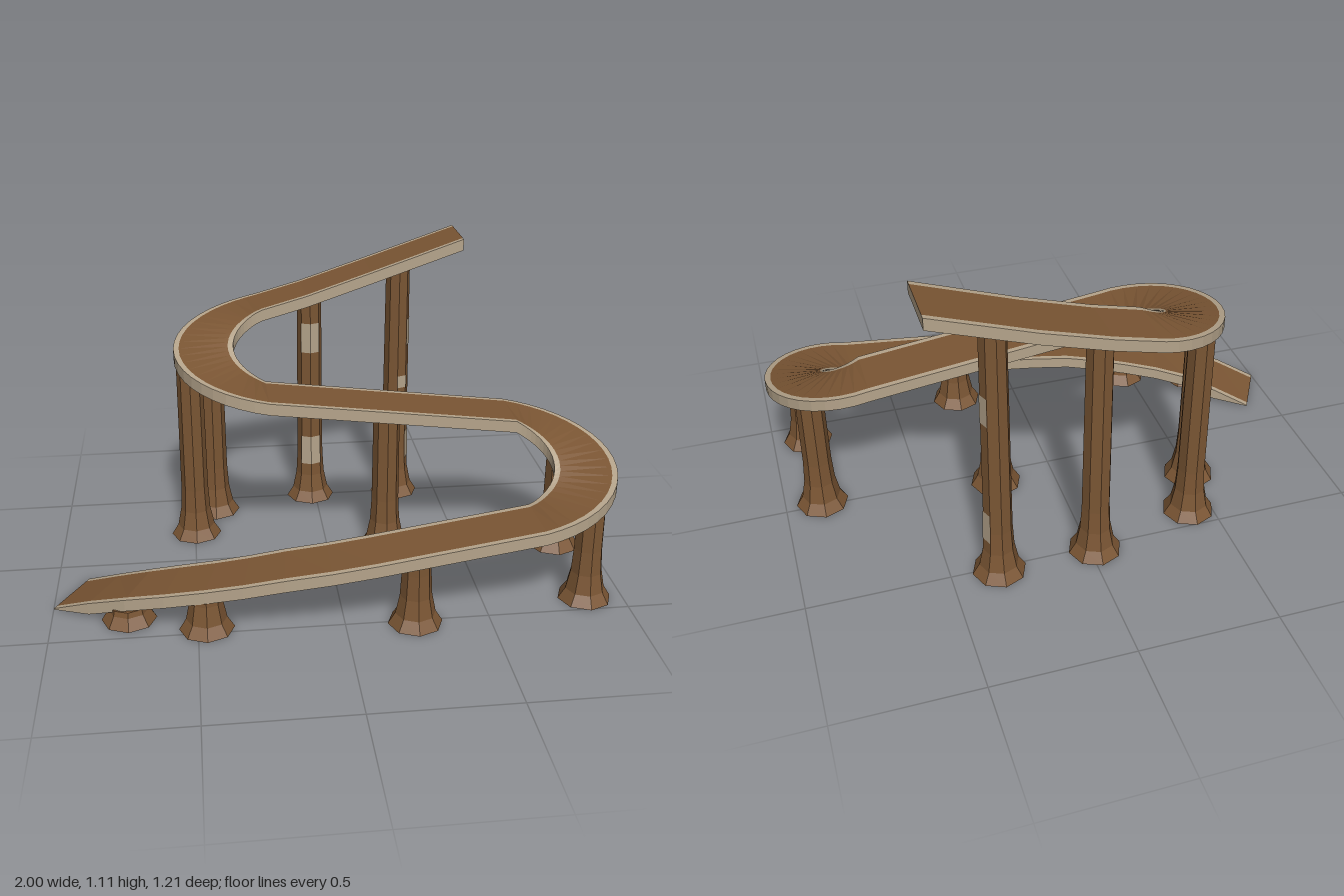
import * as THREE from 'three';

const wood = new THREE.MeshStandardMaterial({ color: 0x7b5634 });
wood.name = 'brownWood';
const trim = new THREE.MeshStandardMaterial({ color: 0xb5a48b });
trim.name = 'paleTrim';

// Centre line of the ramp as [x, y, z], from the high end to the ground
function rampPath() {
  const path = [[0.55, 1.11, -0.457], [0.2, 0.99, -0.457], [-0.05, 0.91, -0.447]];
  const arc = (cx, cz, side, yTop, yEnd, n = 20) => {
    for (let i = 0; i <= n; i++) {
      const a = (Math.PI * i) / n;
      path.push([cx + side * 0.22 * Math.sin(a), yTop + ((yEnd - yTop) * i) / n, cz - 0.22 * Math.cos(a)]);
    }
  };
  arc(-0.22, -0.22, -1, 0.865, 0.665);
  arc(0.67, 0.22, 1, 0.555, 0.335);
  path.push([0.4, 0.3, 0.45], [0.1, 0.26, 0.46], [-0.05, 0.24, 0.46], [-0.2, 0.22, 0.452],
    [-0.33, 0.193, 0.435], [-0.45, 0.167, 0.41], [-0.58, 0.138, 0.375], [-0.7, 0.107, 0.333],
    [-0.82, 0.06, 0.267], [-0.945, 0.004, 0.195]);
  return path;
}

// Six-point cross-section at every path point, clockwise as seen along the path
function rampSections() {
  const path = rampPath(), half = 0.11, lip = 0.02, thick = 0.043;
  return path.map(([x, y, z], i) => {
    const a = path[Math.max(i - 1, 0)], b = path[Math.min(i + 1, path.length - 1)];
    const len = Math.hypot(b[0] - a[0], b[2] - a[2]);
    const rx = -(b[2] - a[2]) / len, rz = (b[0] - a[0]) / len;
    const at = (s, h) => [x + rx * s, h, z + rz * s];
    const low = Math.max(0, y - thick);
    return [at(-half, y), at(lip - half, y), at(half - lip, y), at(half, y), at(half, low), at(-half, low)];
  });
}

function quadMesh(name, quads, material) {
  const pos = quads.flatMap(([a, b, c, d]) => [...a, ...b, ...c, ...a, ...c, ...d]);
  const geo = new THREE.BufferGeometry();
  geo.setAttribute('position', new THREE.Float32BufferAttribute(pos, 3));
  geo.computeVertexNormals();
  const mesh = new THREE.Mesh(geo, material);
  mesh.name = name;
  return mesh;
}

// Sweep the chosen edges of the cross-section along the ramp
function sweep(sections, edges) {
  const quads = [];
  for (let i = 0; i < sections.length - 1; i++) {
    const s = sections[i], t = sections[i + 1];
    for (const [a, b] of edges) quads.push([s[a], s[b], t[b], t[a]]);
  }
  return quads;
}

// Pillar outline: flared foot and slightly tapering shaft
const outline = [[0.095, 0], [0.07, 0.04], [0.056, 0.11], [0.051, 0.2], [0.046, 1.1]];
function radiusAt(y) {
  const i = Math.max(1, outline.findIndex((p) => p[1] >= y));
  const [r0, y0] = outline[i - 1], [r1, y1] = outline[i];
  return r0 + ((r1 - r0) * (y - y0)) / (y1 - y0);
}

function flat(geo) {
  const g = geo.toNonIndexed();
  g.computeVertexNormals();
  return g;
}

// Each patch is [first face, face count, centre height, height]
function pillar(x, z, top, patches = []) {
  const group = new THREE.Group();
  group.name = 'pillar';
  const profile = [[0, 0], ...outline.filter((p) => p[1] < top), [radiusAt(top), top], [0, top]];
  const shaft = new THREE.Mesh(
    flat(new THREE.LatheGeometry(profile.map((p) => new THREE.Vector2(...p)), 8)), wood);
  shaft.name = 'pillarShaft';
  group.add(shaft);
  for (const [face, count, y, h] of patches) {
    const patch = new THREE.Mesh(flat(new THREE.CylinderGeometry(
      radiusAt(y + h / 2) + 0.002, radiusAt(y - h / 2) + 0.002, h, count, 1, true,
      (face * Math.PI) / 4, (count * Math.PI) / 4)), trim);
    patch.name = 'palePatch';
    patch.position.y = y;
    group.add(patch);
  }
  group.position.set(x, 0, z);
  return group;
}

export function createModel() {
  const model = new THREE.Group();
  model.name = 'windingRamp';

  // Ramp: wooden top and underside, pale edges and ends
  const s = rampSections(), first = s[0], last = s[s.length - 1];
  model.add(quadMesh('rampDeck', sweep(s, [[1, 2], [4, 5]]), wood));
  model.add(quadMesh('rampEdges', [
    ...sweep(s, [[0, 1], [2, 3], [3, 4], [5, 0]]),
    [first[0], first[5], first[4], first[3]],
    [last[0], last[3], last[4], last[5]],
  ], trim));

  // Pillars: x, z, top height, patches
  const pillars = [
    [0.33, -0.508, 1.005, [[1, 2, 0.705, 0.11], [1, 2, 0.22, 0.12], [0, 1, 0.5, 0.05]]],
    [-0.02, -0.505, 0.9, [[-1, 2, 0.7, 0.12], [-1, 2, 0.22, 0.12]]],
    [-0.415, -0.41, 0.79, [[1, 1, 0.505, 0.05]]],
    [-0.495, -0.22, 0.735],
    [0.22, -0.05, 0.575],
    [0.865, 0.025, 0.465],
    [0.865, 0.415, 0.355],
    [0.24, 0.508, 0.24],
    [-0.47, 0.465, 0.125],
    [-0.735, 0.375, 0.06],
  ];
  for (const p of pillars) model.add(pillar(...p));
  return model;
}
